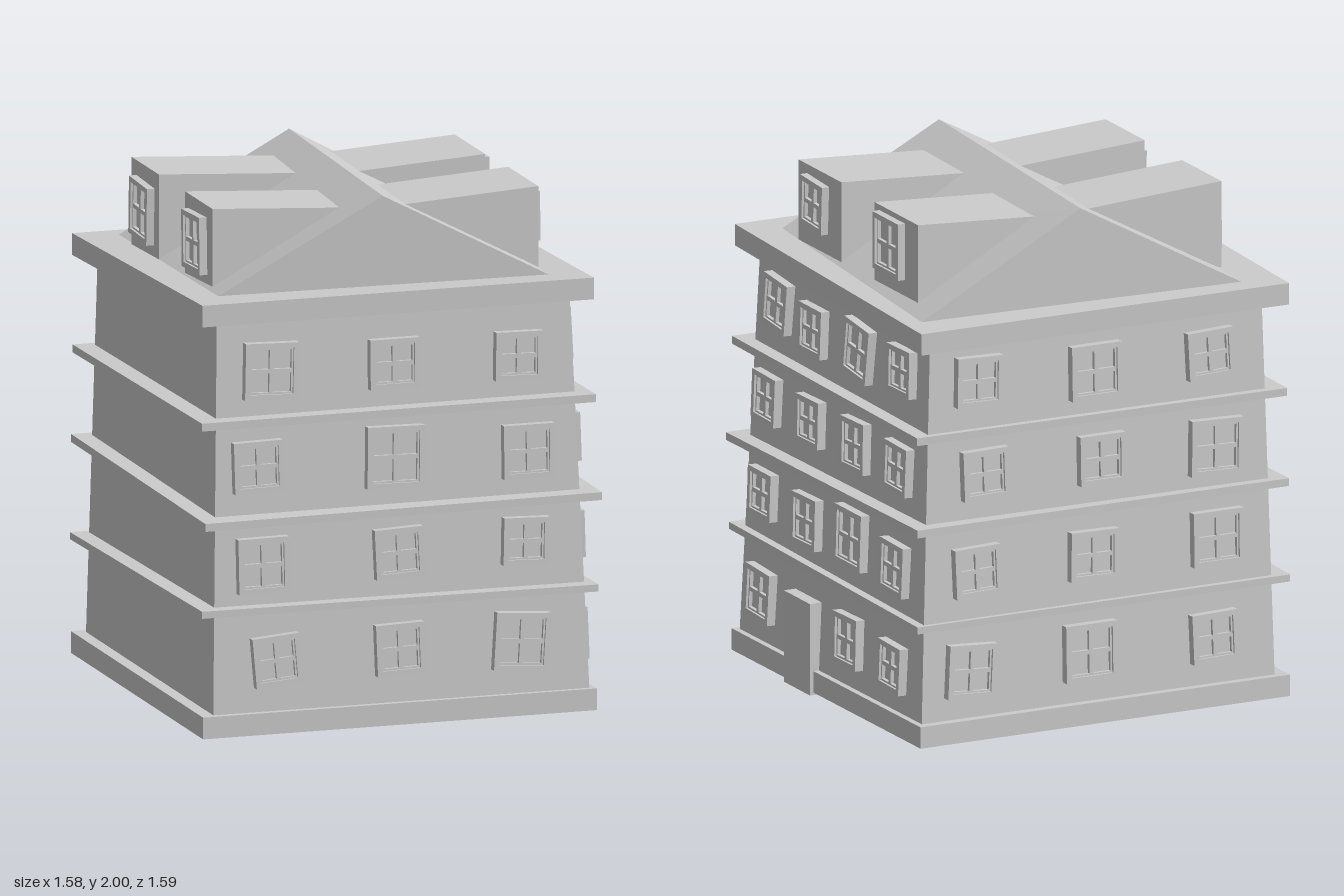
import * as THREE from 'three';

const grey = new THREE.MeshStandardMaterial({ color: 0xcccccc, flatShading: true });

function mesh(name, geometry) {
  const m = new THREE.Mesh(geometry, grey);
  m.name = name;
  return m;
}

// Box between two corners; the optional rule bends its corners.
function block(name, [x0, x1], [y0, y1], [z0, z1], rule) {
  const g = new THREE.BoxGeometry(x1 - x0, y1 - y0, z1 - z0);
  g.translate((x0 + x1) / 2, (y0 + y1) / 2, (z0 + z1) / 2);
  if (rule) {
    const p = g.attributes.position, v = new THREE.Vector3();
    for (let i = 0; i < p.count; i++) {
      v.fromBufferAttribute(p, i);
      rule(v);
      p.setXYZ(i, v.x, v.y, v.z);
    }
    g.computeVertexNormals();
  }
  return mesh(name, g);
}

function rect(target, x0, y0, x1, y1) {
  target.moveTo(x0, y0);
  target.lineTo(x1, y0);
  target.lineTo(x1, y1);
  target.lineTo(x0, y1);
  target.closePath();
  return target;
}

// Panel with a grid of n x n openings, its front at z = front.
function panel(name, w, h, border, bar, n, front) {
  const shape = rect(new THREE.Shape(), -w / 2, -h / 2, w / 2, h / 2);
  const cw = (w - 2 * border - (n - 1) * bar) / n;
  const ch = (h - 2 * border - (n - 1) * bar) / n;
  for (let i = 0; i < n; i++) for (let j = 0; j < n; j++) {
    const x = -w / 2 + border + i * (cw + bar), y = -h / 2 + border + j * (ch + bar);
    shape.holes.push(rect(new THREE.Path(), x, y, x + cw, y + ch));
  }
  const g = new THREE.ExtrudeGeometry(shape, { depth: front + 0.04, bevelEnabled: false });
  g.translate(0, 0, -0.04);
  return mesh(name, g);
}

// Four-pane window facing local +z.
function makeWindow(w, h) {
  const group = new THREE.Group();
  group.name = 'window';
  group.add(
    panel('windowFrame', w, h, 0.02, 0, 1, 0.035),
    panel('windowSash', w - 0.038, h - 0.038, 0.008, 0.016, 2, 0.026),
    block('windowGlass', [-w / 2 + 0.02, w / 2 - 0.02], [-h / 2 + 0.02, h / 2 - 0.02], [-0.03, 0.012])
  );
  return group;
}

function placeWindow(parent, x, y, z, turn, w, h, roll = 0, lean = 0.03) {
  const win = makeWindow(w, h);
  win.position.set(x, y, z);
  win.rotation.set(-lean, turn, roll, 'YXZ');
  parent.add(win);
}

export function createModel() {
  const house = new THREE.Group();
  house.name = 'townhouse';

  // Wall faces lean inwards with height
  const right = y => 0.755 - 0.04 * y;
  const left = y => -0.733 + 0.021 * y;
  const front = y => 0.73 - 0.035 * y;
  const back = y => -0.76 + 0.032 * y;
  house.add(block('walls', [-1, 1], [0.05, 1.6], [-1, 1], v => {
    v.x = v.x > 0 ? right(v.y) : left(v.y);
    v.z = v.z > 0 ? front(v.y) : back(v.y);
  }));

  // Plinth, floor bands and cornice, each slightly crooked: tilt along x and z, and skew
  const bands = [
    ['plinth', [-0.78, 0.775], [0.01, 0.093], [-0.79, 0.75], 0, -0.004, -0.004],
    ['floorBand', [-0.79, 0.77], [0.46, 0.487], [-0.765, 0.775], -0.003, 0.013, 0.006],
    ['floorBand', [-0.785, 0.785], [0.82, 0.85], [-0.78, 0.785], 0.004, -0.009, -0.012],
    ['floorBand', [-0.785, 0.765], [1.18, 1.21], [-0.75, 0.76], 0.003, 0.01, 0.006],
    ['cornice', [-0.775, 0.765], [1.557, 1.64], [-0.785, 0.735], 0, 0.028, 0.006]
  ];
  for (const [name, xs, ys, zs, tiltX, tiltZ, skew] of bands) {
    house.add(block(name, xs, ys, zs, v => {
      v.y += tiltX * v.x + tiltZ * v.z;
      v.z += skew * v.x;
    }));
  }

  // Gabled roof with a slightly turned ridge
  house.add(block('roof', [-1, 1], [0, 1], [-1, 1], v => {
    const isFront = v.z > 0, isRight = v.x > 0;
    if (v.y > 0.5) {
      v.set(isFront ? -0.02 : 0.04, isFront ? 2.0 : 1.985, isFront ? 0.6 : -0.67);
    } else if (isFront) {
      v.set(isRight ? 0.66 : -0.69, 1.64, isRight ? 0.62 : 0.572);
    } else {
      v.set(isRight ? 0.715 : -0.64, 1.61, isRight ? -0.645 : -0.7);
    }
  }));

  // Dormers: side, z range, top height, window z, window size, window roll
  const dormers = [
    [1, [0.12, 0.47], 1.963, 0.315, 1.83, 0.18, -0.05],
    [1, [-0.505, -0.15], 1.955, -0.295, 1.825, 0.21, 0],
    [-1, [0.12, 0.44], 1.96, 0.27, 1.80, 0.21, 0.04],
    [-1, [-0.505, -0.185], 1.96, -0.345, 1.79, 0.21, -0.04]
  ];
  for (const [side, zs, top, wz, wy, size, roll] of dormers) {
    const xs = side > 0 ? [0.06, 0.637] : [-0.637, -0.06];
    house.add(block('dormer', xs, [1.6, top], zs, v => {
      if (v.y > 1.8) v.y -= 0.035 * (0.637 - Math.abs(v.x)) / 0.577;
    }));
    placeWindow(house, side * 0.632, wy, wz, side * Math.PI / 2, size, size * 1.04, roll, 0);
  }

  // Front windows: x, y, width, height, roll
  const frontWindows = [
    [-0.495, 1.385, 0.21, 0.215, -0.03], [-0.01, 1.38, 0.195, 0.19], [0.48, 1.375, 0.185, 0.185, -0.02],
    [-0.55, 1.025, 0.195, 0.195, 0.02], [-0.01, 1.025, 0.225, 0.235, -0.02], [0.515, 1.01, 0.2, 0.205],
    [-0.535, 0.65, 0.2, 0.21, 0.01], [0, 0.66, 0.19, 0.19, 0.04], [0.5, 0.67, 0.18, 0.18, -0.03],
    [-0.485, 0.285, 0.185, 0.19, 0.08], [0, 0.295, 0.19, 0.195, 0.03], [0.48, 0.29, 0.215, 0.22, -0.07]
  ];
  for (const [x, y, w, h, roll] of frontWindows) placeWindow(house, x, y, front(y), 0, w, h, roll);

  // Back windows
  const backWindows = [
    [0.5, 1.39, 0.19, 0.19, -0.03], [0.01, 1.365, 0.21, 0.21], [-0.47, 1.37, 0.19, 0.185, 0.04],
    [0.48, 1.03, 0.19, 0.19, 0.02], [-0.01, 1.025, 0.19, 0.19], [-0.49, 1.01, 0.215, 0.215, -0.03],
    [0.52, 0.66, 0.19, 0.19, 0.03], [0.03, 0.66, 0.2, 0.19, -0.02], [-0.49, 0.66, 0.21, 0.21],
    [0.55, 0.28, 0.2, 0.205, -0.06], [0.05, 0.29, 0.215, 0.22], [-0.47, 0.28, 0.19, 0.19, 0.03]
  ];
  for (const [x, y, w, h, roll] of backWindows) placeWindow(house, x, y, back(y), Math.PI, w, h, roll);

  // Windows on the door side: z, y, width, height, roll
  const sideWindows = [
    [0.485, 1.41, 0.19, 0.195, -0.08], [0.195, 1.38, 0.185, 0.185], [-0.175, 1.395, 0.2, 0.21, -0.1], [-0.525, 1.405, 0.185, 0.18, 0.02],
    [0.545, 1.03, 0.185, 0.185, -0.02], [0.19, 1.03, 0.185, 0.18, 0.02], [-0.175, 1.03, 0.19, 0.195, 0.03], [-0.525, 1.03, 0.185, 0.185, -0.02],
    [0.55, 0.66, 0.185, 0.18], [0.19, 0.645, 0.195, 0.195, 0.02], [-0.17, 0.67, 0.215, 0.22], [-0.525, 0.645, 0.19, 0.195, -0.02],
    [0.54, 0.275, 0.195, 0.195, -0.04], [-0.175, 0.275, 0.19, 0.195, 0.02], [-0.535, 0.265, 0.18, 0.18, -0.02]
  ];
  for (const [z, y, w, h, roll] of sideWindows) placeWindow(house, right(y), y, z, Math.PI / 2, w, h, roll);

  // Door
  house.add(block('door', [0.67, 0.79], [0, 0.355], [0.08, 0.292]));

  return house;
}
